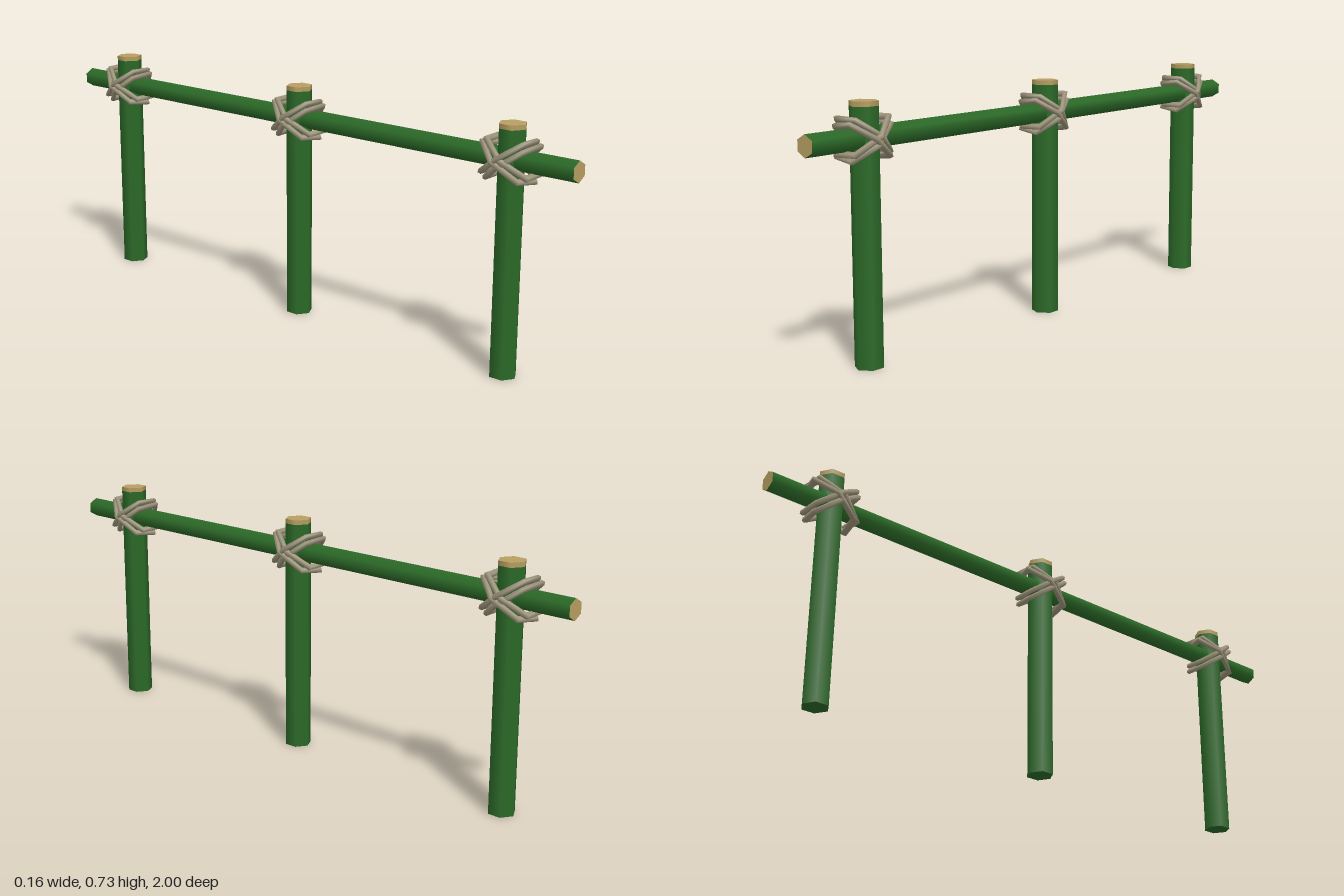
import * as THREE from 'three';

const mat = (color) => new THREE.MeshStandardMaterial({ color, roughness: 0.9 });
const green = mat(0x2c6a28);
const cut = mat(0xb89f62);
const rope = mat(0x9c937a);

const POST_R = 0.041, POST_H = 0.73, CAP_H = 0.014;
const RAIL_R = 0.031, RAIL_Y = 0.63, CENTRE_X = 0.004;

function add(parent, name, geometry, material) {
  const mesh = new THREE.Mesh(geometry, material);
  mesh.name = name;
  parent.add(mesh);
  return mesh;
}

// Six-sided upright pole with a pale cut top
function makePost() {
  const post = new THREE.Group();
  post.name = 'post';
  const h = POST_H - CAP_H;
  add(post, 'postShaft', new THREE.CylinderGeometry(POST_R, POST_R, h, 6), green).position.y = h / 2;
  add(post, 'postCutTop', new THREE.CylinderGeometry(POST_R, POST_R, CAP_H, 6), cut).position.y = POST_H - CAP_H / 2;
  return post;
}

// Two crossed pairs of six-sided rope loops, tilted either way around the joint
function makeLashing() {
  const lashing = new THREE.Group();
  lashing.name = 'ropeLashing';
  for (const side of [1, -1]) {
    const pair = new THREE.Group();
    pair.name = 'ropePair';
    pair.rotation.x = side * THREE.MathUtils.degToRad(55);
    for (const strand of [1, -1]) {
      const geo = new THREE.TorusGeometry(0.067, 0.0088, 6, 6);
      geo.rotateZ(strand * 0.09 + side * 0.06);
      geo.scale(1, 1.36, 1);
      const loop = add(pair, 'ropeLoop', geo, rope);
      loop.position.set(strand * 0.003 - CENTRE_X, 0, strand * 0.009);
    }
    lashing.add(pair);
  }
  return lashing;
}

export function createModel() {
  const fence = new THREE.Group();
  fence.name = 'fence';

  // Horizontal rail, open tube closed by pale cut ends
  const rail = add(fence, 'rail', new THREE.CylinderGeometry(RAIL_R, RAIL_R, 2, 6, 1, true), green);
  rail.rotation.x = Math.PI / 2;
  rail.position.set(CENTRE_X, RAIL_Y, 0);
  for (const end of [1, -1]) {
    const cap = add(fence, 'railCutEnd', new THREE.CircleGeometry(RAIL_R, 6, Math.PI / 2), cut);
    cap.position.set(CENTRE_X, RAIL_Y, end);
    if (end < 0) cap.rotation.y = Math.PI;
  }

  // Posts with their lashings
  for (const z of [0.787, 0.002, -0.795]) {
    const post = makePost();
    post.position.set(CENTRE_X, 0, z);
    const lashing = makeLashing();
    lashing.position.y = RAIL_Y;
    post.add(lashing);
    fence.add(post);
  }
  return fence;
}
